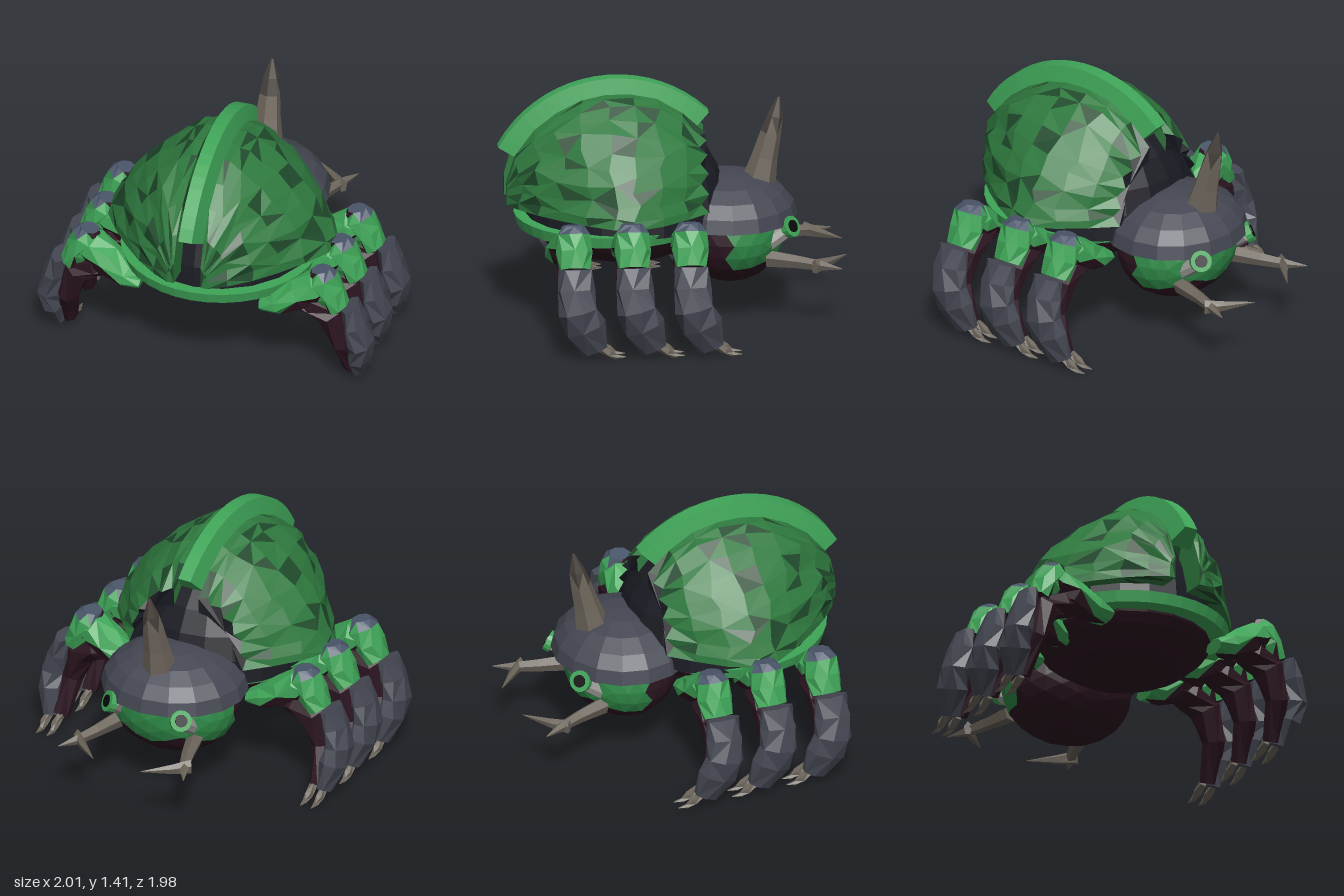
import * as THREE from 'three';

const mat = (color) => new THREE.MeshStandardMaterial({ color, flatShading: true, side: THREE.DoubleSide });
const M = {
  shell: mat(0x2f7a3f), shellDark: mat(0x1f4a2b), green: mat(0x3fa558), face: mat(0x2f8a48),
  armour: mat(0x444752), pad: mat(0x4a566a), dark: mat(0x1b1c24), belly: mat(0x2c1521),
  horn: mat(0x6c655b), hornTip: mat(0x48423c), stalk: mat(0x9b9a96), black: mat(0x0a0a0c),
};
const V = (x, y, z) => new THREE.Vector3(x, y, z);
const hash = (n) => { const s = Math.sin(n * 127.1 + 11.7) * 43758.5453; return s - Math.floor(s); };

function add(parent, name, geo, material) {
  const mesh = new THREE.Mesh(geo, material);
  mesh.name = name;
  parent.add(mesh);
}

// Skins a list of closed rings of points and caps both ends.
function loft(rings) {
  const p = [];
  const tri = (...pts) => pts.forEach((q) => p.push(q.x, q.y, q.z));
  const n = rings[0].length;
  for (let i = 0; i < rings.length - 1; i++) {
    for (let j = 0; j < n; j++) {
      const k = (j + 1) % n;
      const [a, b, c, d] = [rings[i][j], rings[i][k], rings[i + 1][j], rings[i + 1][k]];
      if ((i + j) % 2) { tri(a, b, c); tri(b, d, c); } else { tri(a, b, d); tri(a, d, c); }
    }
  }
  [rings[0], rings[rings.length - 1]].forEach((ring, end) => {
    const mid = ring.reduce((s, q) => s.add(q), V(0, 0, 0)).divideScalar(n);
    ring.forEach((q, j) => {
      const r = ring[(j + 1) % n];
      if (end) tri(mid, q, r); else tri(mid, r, q);
    });
  });
  const geo = new THREE.BufferGeometry();
  geo.setAttribute('position', new THREE.Float32BufferAttribute(p, 3));
  geo.computeVertexNormals();
  return geo;
}

// Faceted limb through stations [x, y, z, radius across, radius along ref].
function limb(stations, sides = 7, ref = V(0, 0, 1), twist = 0.4) {
  const pts = stations.map((s) => V(s[0], s[1], s[2]));
  return loft(stations.map((s, i) => {
    const d = pts[Math.min(i + 1, pts.length - 1)].clone().sub(pts[Math.max(i - 1, 0)]).normalize();
    const u = ref.clone().addScaledVector(d, -ref.dot(d)).normalize();
    const v = d.clone().cross(u);
    return Array.from({ length: sides }, (_, j) => {
      const a = ((j + (i % 2) * twist) / sides) * Math.PI * 2;
      return pts[i].clone().addScaledVector(u, Math.cos(a) * (s[4] ?? s[3])).addScaledVector(v, Math.sin(a) * s[3]);
    });
  }));
}

// Divides the triangles of a geometry between materials chosen by their centre.
function addPainted(parent, name, geo, choose) {
  const pos = geo.attributes.position;
  const bins = {};
  for (let i = 0; i < pos.count; i += 3) {
    const q = [0, 1, 2].map((k) => V(0, 0, 0).fromBufferAttribute(pos, i + k));
    const c = q[0].clone().add(q[1]).add(q[2]).divideScalar(3);
    const bin = (bins[choose(c, i / 3)] ??= []);
    q.forEach((w) => bin.push(w.x, w.y, w.z));
  }
  const group = new THREE.Group();
  group.name = name;
  for (const key in bins) {
    const g = new THREE.BufferGeometry();
    g.setAttribute('position', new THREE.Float32BufferAttribute(bins[key], 3));
    g.computeVertexNormals();
    add(group, name + ' ' + key, g, M[key]);
  }
  parent.add(group);
}

// One wing case: sections across the body of [z, half width, top height, roundness].
function wingCase() {
  const sections = [[-0.17, 0.37, 1.09, 1.1], [-0.06, 0.49, 1.21, 1.25], [0.09, 0.61, 1.3, 1.4],
    [0.24, 0.68, 1.33, 1.43], [0.38, 0.66, 1.33, 1.4], [0.52, 0.57, 1.3, 1.3], [0.66, 0.46, 1.23, 1.2],
    [0.79, 0.34, 1.13, 1.05], [0.89, 0.22, 0.99, 0.95], [0.95, 0.12, 0.83, 0.8]];
  const steps = 10;
  return loft(sections.map(([z, w, top, e], i) => {
    const ring = [V(0.08, 0.7, z)];
    for (let j = 0; j <= steps; j++) {
      const inner = j > 0 && j < steps && i > 0 && i < sections.length - 1;
      const shake = (k) => (inner ? hash(i * 31 + j * 7 + k) - 0.5 : 0);
      const t = (1 - (j + shake(2) * 0.5) / steps) * Math.PI / 2;
      const jag = i === 0 ? (j % 2 ? 0.025 : -0.02) : 0;
      const swell = 1 + shake(1) * 0.03;
      ring.push(V(
        0.08 + (w - 0.08) * swell * Math.pow(Math.max(Math.sin(t), 0), e),
        0.7 + (top - 0.7) * swell * Math.pow(Math.max(Math.cos(t), 0), e),
        z + jag + shake(3) * 0.06));
    }
    return ring;
  }));
}

function addLeg(parent, z, hipZ) {
  const leg = new THREE.Group();
  leg.name = 'leg';
  leg.position.z = z;
  parent.add(leg);
  addPainted(leg, 'thigh', limb([[0.36, 0.49, hipZ, 0.04, 0.08], [0.45, 0.51, hipZ, 0.07, 0.1],
    [0.57, 0.57, hipZ / 2, 0.095, 0.11], [0.67, 0.63, 0, 0.1, 0.11], [0.74, 0.64, 0, 0.07, 0.09]], 8),
  (c) => (c.y > 0.25 + 0.5 * c.x ? 'green' : 'belly'));
  addPainted(leg, 'knee', limb([[0.69, 0.745, 0, 0.055, 0.06], [0.7, 0.69, 0, 0.095, 0.1],
    [0.75, 0.6, 0, 0.085, 0.105], [0.8, 0.51, 0, 0.065, 0.09]], 8),
  (c) => (c.y > 0.715 ? 'pad' : c.y > 0.53 && c.x > 0.66 ? 'green' : 'belly'));
  add(leg, 'lowerLeg', limb([[0.55, 0.52, 0, 0.05, 0.08], [0.65, 0.52, 0, 0.08, 0.1], [0.76, 0.46, 0, 0.09, 0.1],
    [0.82, 0.28, 0, 0.06, 0.08], [0.845, 0.07, -0.1, 0.05, 0.06]], 7), M.belly);
  add(leg, 'shinArmour', limb([[0.87, 0.535, 0, 0.045, 0.1], [0.9, 0.42, 0, 0.065, 0.11],
    [0.93, 0.3, -0.01, 0.075, 0.115], [0.915, 0.2, -0.05, 0.075, 0.125], [0.89, 0.06, -0.11, 0.045, 0.08]]), M.armour);
  for (const x of [0.83, 0.9]) {
    add(leg, 'claw', limb([[x, 0.08, -0.13, 0.025], [x, 0.045, -0.19, 0.026], [x, 0.02, -0.23, 0.016],
      [x, 0.02, -0.285, 0.003]], 5, V(1, 0, 0)), M.horn);
  }
}

// Wing case, legs, eye and mandible of one side.
function addSide(parent, name, sign) {
  const side = new THREE.Group();
  side.name = name;
  side.scale.x = sign;
  parent.add(side);
  addPainted(side, 'wingCase', wingCase(), (c, i) => {
    if (c.z < -0.155) return 'dark';
    return hash(i * 3 + 5) < 0.17 ? 'shellDark' : 'shell';
  });
  addLeg(side, -0.05, -0.02);
  addLeg(side, 0.28, 0);
  addLeg(side, 0.615, 0.05);

  const up = V(0, 1, 0);
  const eye = V(0.225, 0.56, -0.655);
  const look = V(0.6, 0.4, -0.69).normalize();
  const disc = (from, to, r) => limb([from, to].map((t) => {
    const q = eye.clone().addScaledVector(look, t);
    return [q.x, q.y, q.z, r];
  }), 14, up, 0);
  add(side, 'eyeStalk', limb([[0.23, 0.46, -0.52, 0.05], [0.225, 0.555, -0.655, 0.045]], 8, up, 0), M.stalk);
  add(side, 'eyeRim', disc(-0.01, 0.03, 0.062), M.green);
  add(side, 'pupil', disc(0, 0.036, 0.036), M.black);

  add(side, 'mandible', limb([[0.25, 0.385, -0.53, 0.05], [0.3, 0.375, -0.7, 0.038],
    [0.35, 0.365, -0.83, 0.03], [0.41, 0.36, -0.945, 0.003]], 5, up, 0), M.horn);
  add(side, 'mandibleProng', limb([[0.37, 0.365, -0.79, 0.025, 0.045], [0.29, 0.365, -0.87, 0.022, 0.03],
    [0.155, 0.37, -0.99, 0.002]], 5, up, 0), M.horn);
}

export function createModel() {
  const model = new THREE.Group();
  model.name = 'beetle';

  // Body: dark back under the wing cases, belly and belt
  const half = (start) => new THREE.SphereGeometry(1, 20, 7, 0, Math.PI * 2, start, Math.PI / 2);
  add(model, 'back', half(0).scale(0.54, 0.65, 0.58).translate(0, 0.6, 0.26), M.dark);
  add(model, 'belly', half(Math.PI / 2).scale(0.5, 0.25, 0.52).translate(0, 0.6, 0.28), M.belly);
  add(model, 'belt', new THREE.CylinderGeometry(1, 0.97, 0.065, 36).scale(0.57, 1, 0.56).translate(0, 0.59, 0.34), M.green);

  // Curved ridge between the wing cases, wider at its foot
  const ridge = [];
  for (let i = 0; i <= 18; i++) {
    const a = THREE.MathUtils.lerp(-0.77, 1.07, i / 18);
    const at = (x, r) => V(x, 0.65 + Math.cos(a) * r, 0.32 + Math.sin(a) * r);
    ridge.push([at(-0.075, 0.62), at(0.075, 0.62), at(0.04, 0.765), at(-0.04, 0.765)]);
  }
  add(model, 'ridge', loft(ridge), M.green);

  // Head with chin, face, cap and horn
  const head = new THREE.Group();
  head.name = 'head';
  model.add(head);
  addPainted(head, 'skull', new THREE.IcosahedronGeometry(1, 3).scale(0.39, 0.3, 0.32).translate(0, 0.5, -0.33),
    (c) => (c.z < -0.32 && c.y > 0.37 ? 'face' : 'belly'));
  const cap = new THREE.SphereGeometry(1, 16, 5, 0, Math.PI * 2, 0, Math.PI / 2).scale(0.43, 0.26, 0.4);
  add(head, 'headCap', cap.translate(0, 0.58, -0.32), M.armour);
  add(head, 'headCapUnderside', new THREE.CircleGeometry(1, 16).rotateX(Math.PI / 2).scale(0.43, 1, 0.4).translate(0, 0.58, -0.32), M.dark);
  addPainted(head, 'horn', limb([[0, 0.77, -0.5, 0.1], [0, 0.92, -0.535, 0.075], [0, 1.06, -0.57, 0.06],
    [0, 1.16, -0.595, 0.045], [0, 1.27, -0.615, 0.008]], 6, V(0, 0, 1), 0), (c) => (c.y > 1.1 ? 'hornTip' : 'horn'));

  addSide(model, 'leftSide', 1);
  addSide(model, 'rightSide', -1);
  return model;
}
